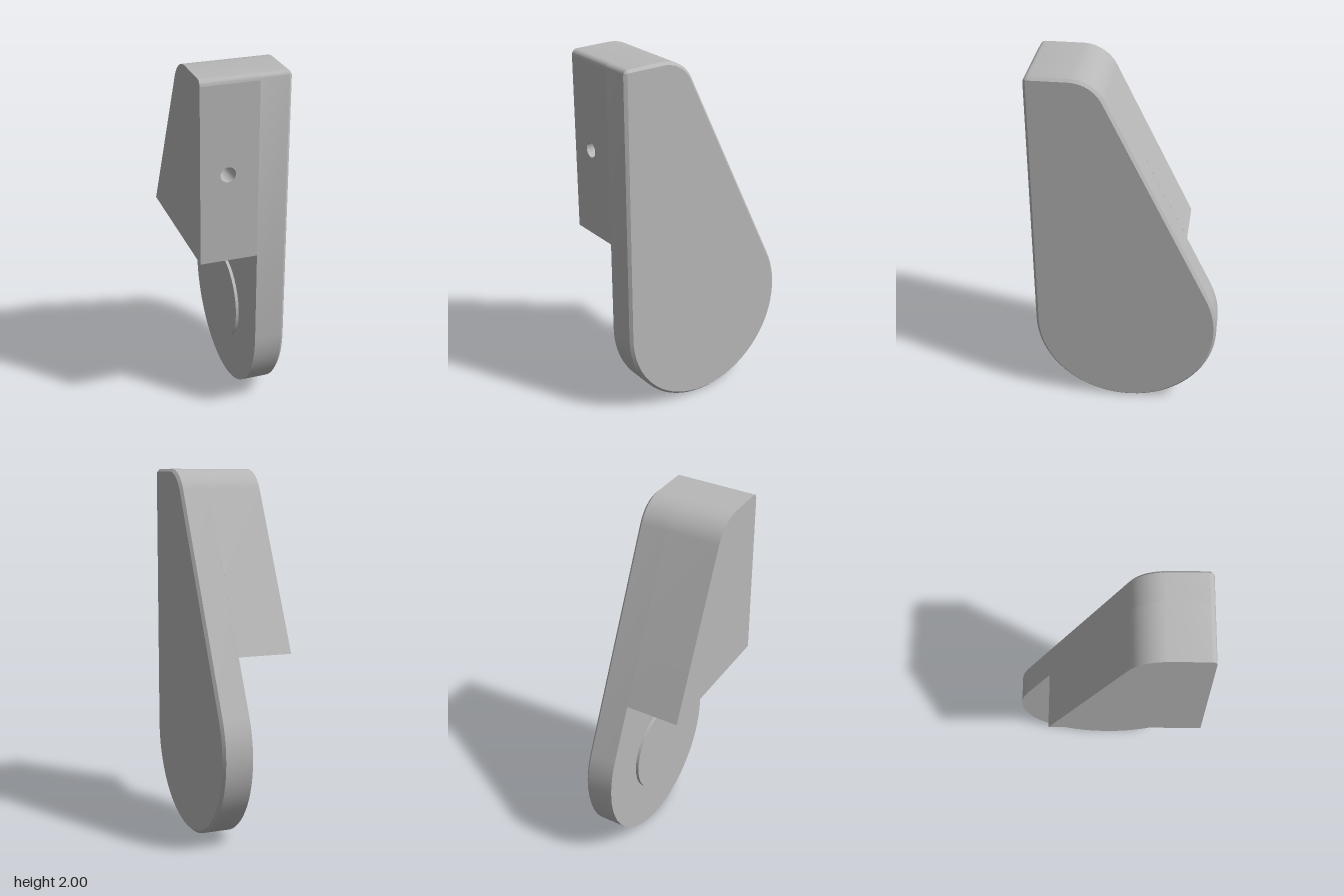
import * as THREE from 'three';
import { toCreasedNormals } from 'three/addons/utils/BufferGeometryUtils.js';

const grey = new THREE.MeshStandardMaterial({ color: 0xb8b8b8 });
grey.name = 'grey';

const R = 0.51;             // rounded foot
const SLANT = 0.45;         // angle of the slanted edge's normal
const BOTTOM = 1.02;        // underside of the block
const HOLE_DEPTH = 0.2;
const INNER = 0.07, OUTER = 0.235, CHAMFER = 0.015;

function arc(cx, cy, r, from, to, steps) {
  return Array.from({ length: steps + 1 }, (_, i) => {
    const a = from + (to - from) * i / steps;
    return new THREE.Vector2(cx + r * Math.cos(a), cy + r * Math.sin(a));
  });
}

// Rounded shoulder and small front corner; u runs towards the back
const topPoints = (inset) => [
  ...arc(-0.28, 1.8, 0.2 - inset, SLANT, Math.PI / 2, 10),
  ...arc(-0.48, 1.97, 0.03 - inset, Math.PI / 2, Math.PI, 5),
];

const outline = (inset) => [
  ...arc(0, R, R - inset, Math.PI, 2 * Math.PI + SLANT, 40),
  ...topPoints(inset),
];

const extrude = (shape, depth) =>
  new THREE.ExtrudeGeometry(shape, { depth, bevelEnabled: false, curveSegments: 20 });

function add(group, name, geometry) {
  const mesh = new THREE.Mesh(toCreasedNormals(geometry, 0.6), grey);
  mesh.name = name;
  group.add(mesh);
}

// Turns a side profile so that its depth runs along x
const sideways = (geometry, x) => geometry.rotateY(Math.PI / 2).translate(x, 0, 0);

export function createModel() {
  const group = new THREE.Group();
  group.name = 'bracket';

  // Side plate
  const outer = outline(0), inner = outline(CHAMFER);
  add(group, 'sidePlate', sideways(extrude(new THREE.Shape(outer), OUTER - CHAMFER - INNER), INNER));

  // Chamfered outer face: pull the far rim in to the inset outline
  const rim = extrude(new THREE.Shape(outer), CHAMFER);
  const pos = rim.attributes.position;
  for (let i = 0; i < pos.count; i++) {
    if (pos.getZ(i) < CHAMFER / 2) continue;
    const k = outer.findIndex((p) => Math.hypot(p.x - pos.getX(i), p.y - pos.getY(i)) < 1e-5);
    if (k >= 0) pos.setXY(i, inner[k].x, inner[k].y);
  }
  add(group, 'chamferedFace', sideways(rim, OUTER - CHAMFER));

  // Main block behind the drilled front
  const seam = -R + HOLE_DEPTH;
  const slantU = (R - Math.sin(SLANT) * (BOTTOM - R)) / Math.cos(SLANT);
  const blockShape = new THREE.Shape([
    new THREE.Vector2(seam, BOTTOM),
    new THREE.Vector2(slantU, BOTTOM),
    ...topPoints(0),
    new THREE.Vector2(seam, 1.97),
  ]);
  add(group, 'block', sideways(extrude(blockShape, INNER + OUTER), -OUTER));

  // Front of the block with a blind hole
  const front = new THREE.Shape([
    new THREE.Vector2(-OUTER, BOTTOM), new THREE.Vector2(INNER, BOTTOM),
    new THREE.Vector2(INNER, 1.97), new THREE.Vector2(-OUTER, 1.97),
  ]);
  front.holes.push(new THREE.Path().absarc(-0.09, 1.5, 0.04, 0, Math.PI * 2, true));
  add(group, 'drilledFront', extrude(front, HOLE_DEPTH).translate(0, 0, -seam));

  // Low round boss on the inner side of the foot
  const boss = new THREE.CylinderGeometry(0.25, 0.25, 0.03, 40);
  add(group, 'boss', boss.rotateZ(Math.PI / 2).translate(0.068, R, 0));

  return group;
}
